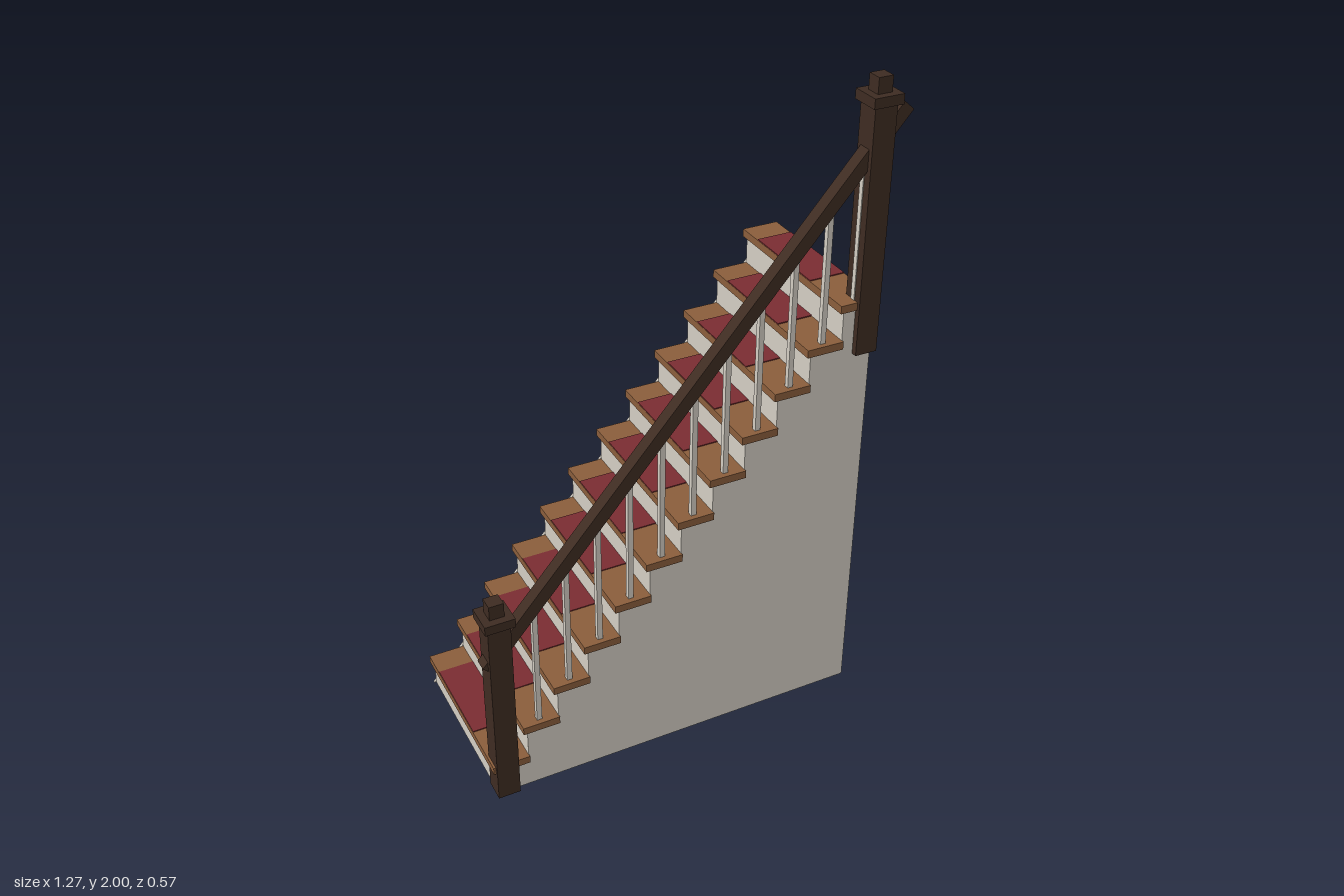
import * as THREE from 'three';

const STEPS = 12, RUN = 0.0985, RISE = 0.1136;
const X0 = -0.628, TREAD_W = 0.114, TREAD_T = 0.024;
const RISER_SET = 0.014, X_END = 0.565;
const RAIL_Z = 0.24, SLOPE = 1.15, RAIL_MID = 1.194;

const mat = (name, color) => {
  const m = new THREE.MeshStandardMaterial({ color });
  m.name = name;
  return m;
};

export function createModel() {
  const group = new THREE.Group();
  group.name = 'staircase';
  const plaster = mat('plaster', 0xd4cec4);
  const wood = mat('treadWood', 0x8b5e3c);
  const dark = mat('darkWood', 0x3e2c22);
  const carpet = mat('carpetRed', 0x7b2d32);

  const add = (name, geo, material, parent = group) => {
    const mesh = new THREE.Mesh(geo, material);
    mesh.name = name;
    parent.add(mesh);
    return mesh;
  };
  // box given by its min and max on each axis
  const box = (name, material, x1, x2, y1, y2, z1, z2, parent) => {
    const mesh = add(name, new THREE.BoxGeometry(x2 - x1, y2 - y1, z2 - z1), material, parent);
    mesh.position.set((x1 + x2) / 2, (y1 + y2) / 2, (z1 + z2) / 2);
    return mesh;
  };
  // flat side panel from an outline
  const panel = (name, points, z1, z2) => {
    const shape = new THREE.Shape(points.map(([x, y]) => new THREE.Vector2(x, y)));
    const geo = new THREE.ExtrudeGeometry(shape, { depth: z2 - z1, bevelEnabled: false });
    add(name, geo, plaster).position.z = z1;
  };

  // steps: tread, riser, carpet runner and baluster
  const outline = [[X_END, 0], [X0 + RISER_SET, 0]];
  for (let i = 0; i < STEPS; i++) {
    const x = X0 + i * RUN, top = RISE * (i + 1), under = top - TREAD_T;
    const step = new THREE.Group();
    step.name = 'step' + (i + 1);
    group.add(step);
    box('tread', wood, x, x + TREAD_W, under, top, -0.28, 0.264, step);
    box('carpet', carpet, x + 0.001, x + TREAD_W - 0.001, top, top + 0.003, -0.195, 0.098, step);
    box('riser', plaster, x + RISER_SET, x + RISER_SET + 0.01, i * RISE, under, -0.28, 0.22, step);
    if (i > 0) {
      const bx = x + TREAD_W / 2;
      box('baluster', plaster, bx - 0.008, bx + 0.008, top, RAIL_MID + SLOPE * bx, RAIL_Z - 0.008, RAIL_Z + 0.008, step);
    }
    const next = i < STEPS - 1 ? x + RUN + RISER_SET : X_END;
    outline.push([x + RISER_SET, under], [next, under]);
  }

  // stepped wall under the railing, triangular wall on the far side
  panel('frontWall', outline, 0.218, 0.256);
  panel('backWall', [[-0.62, 0], [X_END, 0], [X_END, 1.36]], -0.29, -0.281);

  // newel posts with cap and knob
  const newel = (name, x, y1, y2) => {
    const post = new THREE.Group();
    post.name = name;
    group.add(post);
    const block = (part, h, a, b) => box(part, dark, x - h, x + h, a, b, RAIL_Z - h, RAIL_Z + h, post);
    block('post', 0.034, y1, y2 - 0.07);
    block('cap', 0.045, y2 - 0.074, y2 - 0.045);
    block('knob', 0.022, y2 - 0.045, y2);
  };
  newel('lowerNewel', -0.587, 0, 0.7);
  newel('upperNewel', 0.541, 1.2, 2);

  // sloping handrail
  const length = 2 * 0.622 * Math.hypot(1, SLOPE);
  const rail = add('handrail', new THREE.BoxGeometry(length, 0.04, 0.04), dark);
  rail.position.set(0, RAIL_MID, RAIL_Z);
  rail.rotation.z = Math.atan(SLOPE);

  return group;
}
